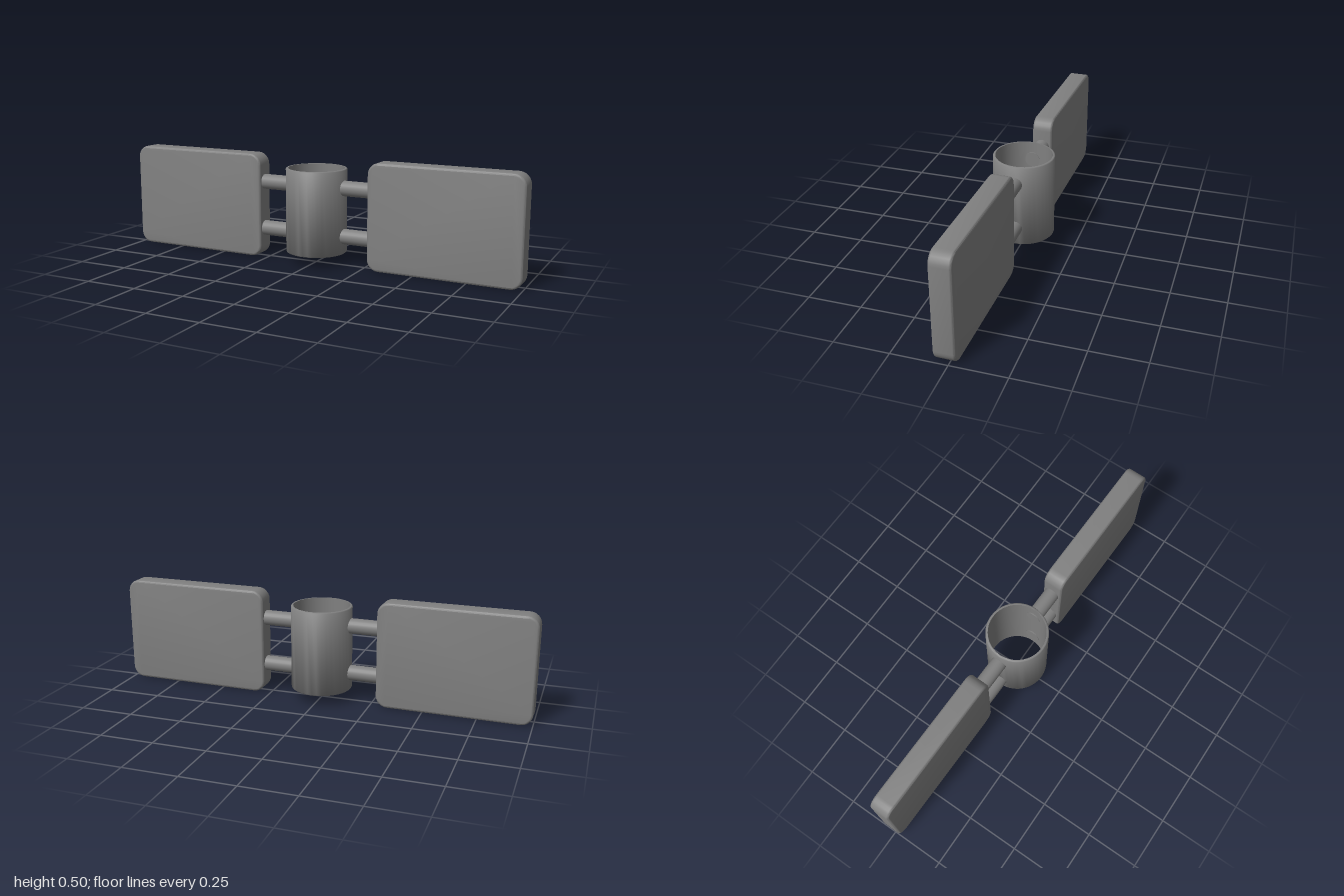
import * as THREE from 'three';
import { toCreasedNormals } from 'three/addons/utils/BufferGeometryUtils.js';

const darkGrey = new THREE.MeshStandardMaterial({ color: 0x808080 });

function addPart(parent, name, geometry) {
  const mesh = new THREE.Mesh(geometry, darkGrey);
  mesh.name = name;
  parent.add(mesh);
  return mesh;
}

// Flat panel with rounded corners and softened edges, centred on the origin
function panelGeometry(width, height, depth, radius, bevel) {
  const x = width / 2 - bevel, y = height / 2 - bevel, r = radius - bevel;
  const shape = new THREE.Shape();
  shape.absarc(x - r, y - r, r, 0, Math.PI / 2);
  shape.absarc(r - x, y - r, r, Math.PI / 2, Math.PI);
  shape.absarc(r - x, r - y, r, Math.PI, Math.PI * 1.5);
  shape.absarc(x - r, r - y, r, Math.PI * 1.5, Math.PI * 2);
  const geometry = new THREE.ExtrudeGeometry(shape, {
    depth: depth - 2 * bevel, curveSegments: 3,
    bevelEnabled: true, bevelSize: bevel, bevelThickness: bevel, bevelSegments: 3,
  });
  geometry.translate(0, 0, bevel - depth / 2);
  return toCreasedNormals(geometry, 0.6);
}

export function createModel() {
  const model = new THREE.Group();
  model.name = 'paddleHub';

  // Hollow hub, a closed wall profile with slightly eased outer rims
  const outer = 0.144, inner = 0.133, low = 0.053, high = 0.453, ease = 0.004;
  const profile = [
    [inner, low], [outer - ease, low], [outer, low + ease],
    [outer, high - ease], [outer - ease, high], [inner, high], [inner, low],
  ].map(([x, y]) => new THREE.Vector2(x, y));
  addPart(model, 'hubTube', toCreasedNormals(new THREE.LatheGeometry(profile, 40), 0.9));

  // Two opposite arms, turned slightly about the hub axis
  const arms = new THREE.Group();
  arms.name = 'arms';
  arms.rotation.y = -0.0175;
  model.add(arms);

  const panel = panelGeometry(0.72, 0.502, 0.097, 0.055, 0.01);
  const rod = new THREE.CylinderGeometry(0.036, 0.036, 0.18, 24).rotateZ(Math.PI / 2);

  for (const [side, label] of [[1, 'left'], [-1, 'right']]) {
    addPart(arms, label + 'Paddle', panel).position.set(side * 0.64, 0.251, 0);
    // Rods run from just inside the hub wall into the paddle
    for (const [y, level] of [[0.366, 'Upper'], [0.138, 'Lower']]) {
      addPart(arms, label + level + 'Rod', rod).position.set(side * 0.217, y, 0);
    }
  }
  return model;
}
